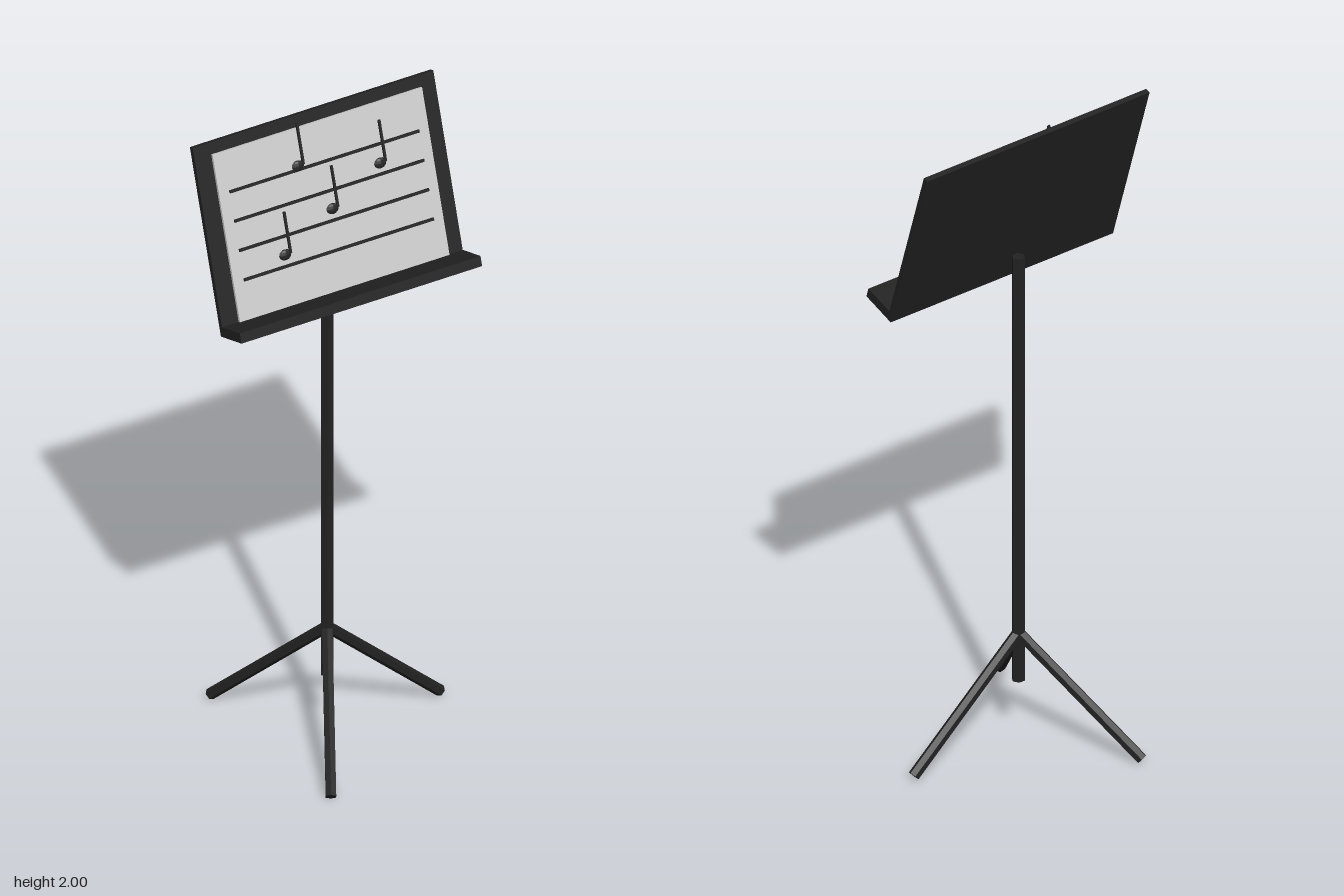
import * as THREE from 'three';

const dark = new THREE.MeshStandardMaterial({ color: 0x222222, flatShading: true });
const light = new THREE.MeshStandardMaterial({ color: 0xcccccc, flatShading: true });

function addMesh(parent, name, geometry, material, x, y, z) {
  const mesh = new THREE.Mesh(geometry, material);
  mesh.name = name;
  mesh.position.set(x, y, z);
  parent.add(mesh);
  return mesh;
}

// Six-sided rod between two points
function addRod(parent, name, from, to, radius) {
  const dir = to.clone().sub(from);
  const mid = from.clone().add(to).multiplyScalar(0.5);
  const geometry = new THREE.CylinderGeometry(radius, radius, dir.length(), 6);
  geometry.rotateY(Math.PI / 6);
  const rod = addMesh(parent, name, geometry, dark, mid.x, mid.y, mid.z);
  rod.quaternion.setFromUnitVectors(new THREE.Vector3(0, 1, 0), dir.normalize());
  return rod;
}

export function createModel() {
  const model = new THREE.Group();
  model.name = 'musicStand';

  // Upright pole
  addRod(model, 'pole', new THREE.Vector3(0, 0.19, 0), new THREE.Vector3(0, 1.565, 0), 0.02);

  // Three splayed legs
  for (let i = 0; i < 3; i++) {
    const a = (i * Math.PI * 2) / 3;
    const foot = new THREE.Vector3(0.372 * Math.cos(a), 0.0126, 0.372 * Math.sin(a));
    addRod(model, 'leg', new THREE.Vector3(0, 0.343, 0), foot, 0.017);
  }

  // Tilted desk: back panel, lower shelf and sheet
  const desk = new THREE.Group();
  desk.name = 'desk';
  desk.position.set(0, 1.73, 0);
  desk.rotation.x = -0.3;
  model.add(desk);
  addMesh(desk, 'backPanel', new THREE.BoxGeometry(0.79, 0.56, 0.016), dark, 0, 0, 0);
  addMesh(desk, 'shelf', new THREE.BoxGeometry(0.79, 0.03, 0.1), dark, 0, -0.265, 0.057);
  addMesh(desk, 'sheet', new THREE.BoxGeometry(0.688, 0.495, 0.008), light, 0, 0, 0.018);

  // Staff lines
  for (let i = 0; i < 4; i++) {
    addMesh(desk, 'staffLine', new THREE.BoxGeometry(0.622, 0.008, 0.006), dark, 0, 0.129 - i * 0.0867, 0.025);
  }

  // Notes: flattened head with a stem on its right
  for (const [x, y] of [[-0.171, -0.097], [0, -0.01], [-0.086, 0.141], [0.172, 0.075]]) {
    const note = new THREE.Group();
    note.name = 'note';
    note.position.set(x, y, 0.027);
    desk.add(note);
    const head = addMesh(note, 'noteHead', new THREE.SphereGeometry(0.02, 8, 6), dark, 0, 0, 0);
    head.scale.set(1, 0.8, 0.35);
    addMesh(note, 'noteStem', new THREE.BoxGeometry(0.007, 0.122, 0.006), dark, 0.018, 0.061, 0);
  }

  return model;
}
